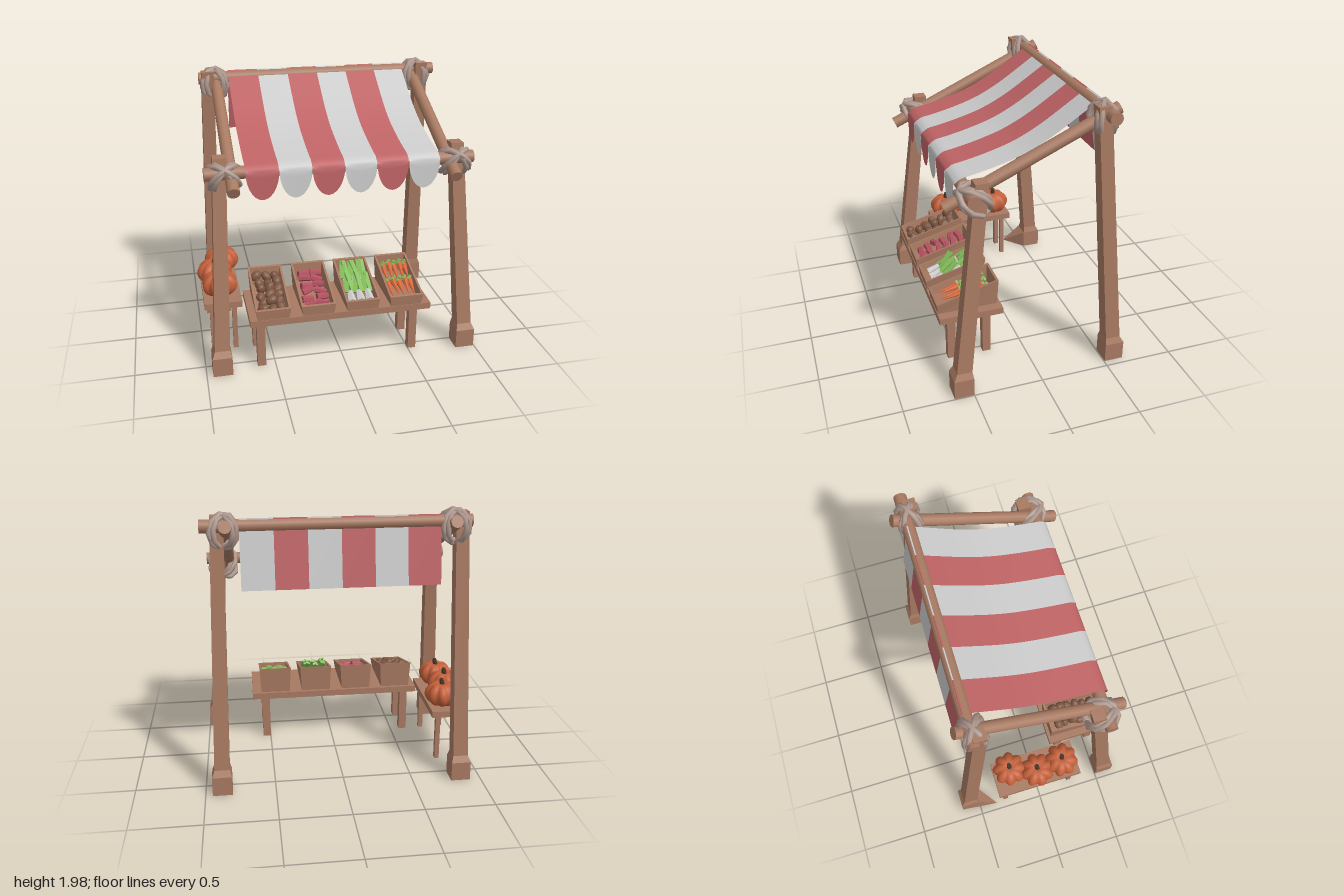
import * as THREE from 'three';

const mat = (color, extra = {}) => {
  const m = new THREE.MeshStandardMaterial({ color });
  return Object.assign(m, extra);
};
const flat = { flatShading: true };
const M = {
  wood: mat(0xa87a62, flat), pole: mat(0xa87a62), rope: mat(0xb09a90),
  red: mat(0xbf6365, { side: THREE.DoubleSide }), pale: mat(0xcccccc, { side: THREE.DoubleSide }),
  pumpkin: mat(0xc4603a), stem: mat(0x4a3a2c, flat), potato: mat(0x7d5743, flat),
  root: mat(0xb45060, flat), bulb: mat(0xcccccc, flat), leaf: mat(0x86c05c, flat), carrot: mat(0xd9683a, flat),
};

let seed = 7;
const rand = (a, b) => {
  seed = (seed * 16807) % 2147483647;
  return a + (b - a) * (seed / 2147483647);
};

function add(parent, name, geo, material, pos = [0, 0, 0], rot = [0, 0, 0]) {
  const m = new THREE.Mesh(geo, material);
  m.name = name;
  m.position.set(...pos);
  m.rotation.set(...rot);
  parent.add(m);
  return m;
}

function group(parent, name, pos = [0, 0, 0]) {
  const g = new THREE.Group();
  g.name = name;
  g.position.set(...pos);
  parent.add(g);
  return g;
}

// Move every vertex of a geometry by a rule
function warp(geo, rule) {
  const p = geo.attributes.position, v = new THREE.Vector3();
  for (let i = 0; i < p.count; i++) {
    v.fromBufferAttribute(p, i);
    rule(v);
    p.setXYZ(i, v.x, v.y, v.z);
  }
  geo.computeVertexNormals();
  return geo;
}

// Leaning square post with a thick foot; kick pulls one ground corner forward
function post(parent, name, foot, top, height, kick) {
  const rows = [[0, 0.07, 0], [0.14, 0.07, 0], [0.185, 0.054, 0.06], [height, 0.045, 1]];
  const geo = warp(new THREE.BoxGeometry(1, 1, 1, 1, 3, 1), (v) => {
    const i = Math.round((v.y + 0.5) * 3), [y, half, t] = rows[i];
    const sx = Math.sign(v.x), sz = Math.sign(v.z);
    v.set(foot[0] + (top[0] - foot[0]) * t + sx * half, y, foot[1] + (top[1] - foot[1]) * t + sz * half);
    if (kick && i === 0 && sx < 0 && sz > 0) v.set(v.x - 0.03, 0, -0.36);
  });
  add(parent, name, geo, M.wood);
}

// Round pole between two points
function pole(parent, name, a, b, r) {
  const p = new THREE.Vector3(...a), q = new THREE.Vector3(...b), d = q.clone().sub(p);
  const m = add(parent, name, new THREE.CylinderGeometry(r, r, d.length(), 12), M.pole);
  m.position.copy(p).add(q).multiplyScalar(0.5);
  m.quaternion.setFromUnitVectors(new THREE.Vector3(0, 1, 0), d.normalize());
}

// Two crossed rope loops round a joint
function lashing(parent, name, pos, tilt, r) {
  const g = group(parent, name, pos);
  g.rotation.x = tilt;
  for (const s of [-1, 1]) {
    for (const k of [0, 1]) {
      const loop = add(g, 'ropeLoop', new THREE.TorusGeometry(r - k * 0.012, 0.02, 6, 9), M.rope,
        [0, 0, 0], [0, s * (0.55 + k * 0.3), k * 0.25 * s]);
      loop.scale.x = 0.95;
    }
  }
}

// Striped cloth: sagging roof, scalloped front edge and a rear flap
function canopy(parent) {
  const g = group(parent, 'canopy');
  const sag = new THREE.CatmullRomCurve3([[1.94, -0.475], [1.82, -0.3], [1.71, -0.13], [1.62, 0.05],
    [1.56, 0.24], [1.522, 0.4], [1.505, 0.48], [1.47, 0.525]].map(([y, z]) => new THREE.Vector3(0, y, z)));
  const w = 0.225;
  for (let i = 0; i < 6; i++) {
    const x0 = -0.66 + i * w, material = i % 2 ? M.pale : M.red;
    const across = (x) => x0 + w * (1 - Math.cos(Math.PI * (x + 0.5))) / 2;
    add(g, 'roofStripe', warp(new THREE.PlaneGeometry(1, 1, 14, 24), (v) => {
      const t = (0.5 - v.y) * 24 / 20, s = v.x + 0.5;
      const c = sag.getPoint(Math.min(t, 1)), hang = Math.max(0, t - 1) * 5;
      v.set(across(v.x), c.y - hang * 0.2 * Math.sin(Math.PI * s), c.z + hang * 0.005);
    }), material);
    add(g, 'rearFlapStripe', warp(new THREE.PlaneGeometry(1, 1, 1, 1), (v) => {
      const t = v.y + 0.5;
      v.set(x0 + w * (0.5 + v.x), 1.94 - 0.47 * t, -0.475 - 0.08 * t);
    }), material);
  }
}

function table(parent, name, [x0, x1], [z0, z1], legXs, legZs, legW) {
  const g = group(parent, name);
  add(g, 'tableTop', new THREE.BoxGeometry(x1 - x0, 0.048, z1 - z0), M.wood, [(x0 + x1) / 2, 0.388, (z0 + z1) / 2]);
  for (const x of legXs) for (const z of legZs) {
    add(g, 'tableLeg', new THREE.BoxGeometry(legW, 0.37, legW), M.wood, [x, 0.185, z]);
  }
}

// Open wedge-shaped crate, flaring upward and lower at the front
function crate(parent, x) {
  const g = group(parent, 'crate', [x, 0.412, 0.415]);
  const walls = [
    ['crateSide', [-1, -0.88], [0, 1], [-1, 1]], ['crateSide', [0.88, 1], [0, 1], [-1, 1]],
    ['crateFront', [-0.88, 0.88], [0, 1], [0.93, 1]], ['crateBack', [-0.88, 0.88], [0, 1], [-1, -0.93]],
    ['crateFloor', [-0.88, 0.88], [0, 0.3], [-0.93, 0.93]],
  ];
  for (const [name, xs, ys, zs] of walls) {
    add(g, name, warp(new THREE.BoxGeometry(1, 1, 1), (v) => {
      const [a, b, c] = [xs, ys, zs].map((r, i) => r[v.getComponent(i) > 0 ? 1 : 0]);
      v.set(a * (0.112 + 0.012 * b), b * (0.138 - 0.062 * c), c * (0.22 + 0.008 * b));
    }), M.wood);
  }
  const goods = group(g, 'goods', [0, 0.09, 0]);
  goods.rotation.x = 0.275;
  return goods;
}

function potatoes(g) {
  for (let r = 0; r < 6; r++) for (let c = 0; c < 3; c++) {
    const m = add(g, 'potato', new THREE.IcosahedronGeometry(0.04, 1), M.potato,
      [(c - 1) * 0.062 + rand(-0.01, 0.01), rand(-0.01, 0.03), -0.165 + r * 0.066], [rand(0, 3), rand(0, 3), 0]);
    m.scale.set(1.15, 0.85, 0.85);
  }
}

function roots(g) {
  for (let r = 0; r < 6; r++) for (let c = 0; c < 2; c++) {
    add(g, 'redRoot', new THREE.CylinderGeometry(0.026, 0.022, 0.085, 6), M.root,
      [(c - 0.5) * 0.095 + rand(-0.008, 0.008), rand(-0.005, 0.025), -0.16 + r * 0.064],
      [0, rand(-0.4, 0.4), Math.PI / 2 + rand(-0.25, 0.25)]);
  }
}

function leeks(g) {
  for (let r = 0; r < 2; r++) for (let c = 0; c < 3; c++) {
    const x = (c - 1) * 0.066, z = r ? 0.125 : -0.02, yaw = rand(-0.2, 0.2);
    add(g, 'leekBulb', new THREE.CylinderGeometry(0.022, 0.036, 0.09, 6), M.bulb, [x, 0, z], [-1.35, yaw, 0]);
    for (const s of [-1, 1]) {
      add(g, 'leekLeaf', new THREE.BoxGeometry(0.036, 0.15, 0.014), M.leaf,
        [x + s * 0.014, 0.03 + rand(0, 0.015), z - 0.1], [-1.15 + rand(-0.15, 0.15), s * 0.4, s * rand(0.05, 0.25)]);
    }
  }
}

function carrots(g) {
  for (let r = 0; r < 2; r++) for (let c = 0; c < 5; c++) {
    const x = (c - 2) * 0.041, z = r ? 0.1 : -0.06, y = 0.005 + (c % 2) * 0.012 + (1 - r) * 0.012;
    add(g, 'carrot', new THREE.ConeGeometry(0.024, 0.17, 7), M.carrot, [x, y, z], [Math.PI / 2, 0, rand(-0.1, 0.1)]);
    for (const s of [-1, 1]) {
      add(g, 'carrotTop', new THREE.OctahedronGeometry(0.019), M.leaf, [x + s * 0.009, y + 0.014, z - 0.092 - s * 0.012],
        [rand(0, 1), rand(0, 1), 0]);
    }
  }
}

// Lobed, dimpled pumpkin
function pumpkin(parent, x, z, turn) {
  const g = group(parent, 'pumpkin', [x, 0.507, z]);
  g.rotation.y = turn;
  add(g, 'pumpkinBody', warp(new THREE.SphereGeometry(1, 48, 14), (v) => {
    const rho = Math.hypot(v.x, v.z), lobe = 0.8 + 0.2 * Math.abs(Math.sin(4 * Math.atan2(v.z, v.x)));
    const dimple = 1 - 0.25 * Math.exp(-((rho / 0.35) ** 2));
    v.set(v.x * 0.132 * lobe, v.y * 0.1 * dimple, v.z * 0.132 * lobe);
  }), M.pumpkin);
  add(g, 'pumpkinStem', new THREE.CylinderGeometry(0.015, 0.022, 0.06, 6), M.stem, [0.005, 0.094, 0], [0, 0, -0.2]);
}

export function createModel() {
  const model = new THREE.Group();
  model.name = 'marketStall';

  // Frame
  post(model, 'frontRightPost', [-0.885, 0.57], [-0.82, 0.395], 1.55);
  post(model, 'frontLeftPost', [0.925, 0.57], [0.845, 0.395], 1.55);
  post(model, 'backRightPost', [-0.85, -0.575], [-0.815, -0.415], 1.95, true);
  post(model, 'backLeftPost', [0.88, -0.575], [0.835, -0.415], 1.95);
  pole(model, 'backBeam', [-0.88, 1.89, -0.46], [0.95, 1.89, -0.46], 0.045);
  pole(model, 'frontBeam', [-0.93, 1.455, 0.465], [0.95, 1.455, 0.465], 0.045);
  for (const x of [-0.75, 0.78]) {
    pole(model, 'rafter', [x, 1.9, -0.56], [x, 1.365, 0.62], 0.043);
    lashing(model, 'backLashing', [x + Math.sign(x) * 0.015, 1.85, -0.44], 0, 0.115);
    lashing(model, 'frontLashing', [x + Math.sign(x) * 0.045, 1.42, 0.435], 0.9, 0.125);
  }
  canopy(model);

  // Tables
  table(model, 'frontTable', [-0.68, 0.635], [0.17, 0.64], [-0.6, 0.53], [0.275, 0.54], 0.06);
  table(model, 'sideTable', [-0.975, -0.7], [-0.34, 0.33], [-0.92, -0.757], [-0.28, 0.27], 0.035);

  // Goods
  [potatoes, roots, leeks, carrots].forEach((fill, i) => fill(crate(model, -0.515 + i * 0.3225)));
  pumpkin(model, -0.8, -0.21, 0.2);
  pumpkin(model, -0.87, -0.005, 0.5);
  pumpkin(model, -0.85, 0.2, 0);
  return model;
}
